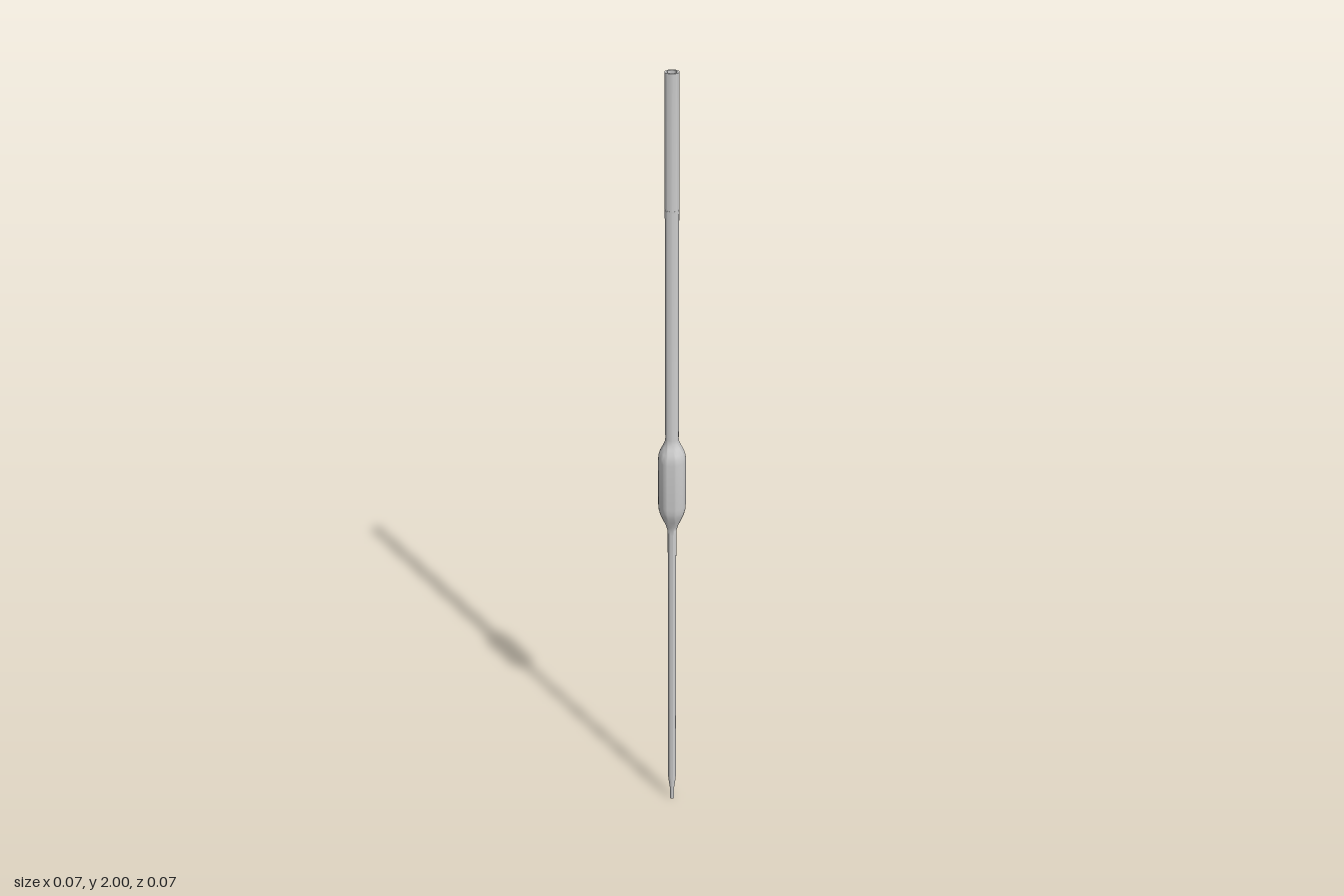
import * as THREE from 'three';
import { toCreasedNormals } from 'three/addons/utils/BufferGeometryUtils.js';

const SEGMENTS = 48;

export function createModel() {
  const group = new THREE.Group();
  group.name = 'pipette';
  const glass = new THREE.MeshStandardMaterial({ color: 0xcccccc });

  const addLathe = (name, profile) => {
    const points = profile.map(([r, y]) => new THREE.Vector2(r, y));
    const geometry = toCreasedNormals(new THREE.LatheGeometry(points, SEGMENTS), Math.PI / 5);
    const mesh = new THREE.Mesh(geometry, glass);
    mesh.name = name;
    group.add(mesh);
  };

  // Outer wall from tip to mouth: tip, stem, bulb, neck
  const outer = [
    [0.0055, 0], [0.0058, 0.035], [0.0075, 0.05], [0.0095, 0.065], [0.0105, 0.08],
    [0.0105, 0.845], [0.0115, 0.858], [0.0155, 0.872], [0.023, 0.89], [0.0295, 0.906],
    [0.0325, 0.918], [0.0335, 0.932], [0.0335, 1.055], [0.0325, 1.068],
    [0.029, 1.08], [0.022, 1.094], [0.0175, 1.104], [0.016, 1.115], [0.016, 2],
  ];

  // Bore follows the outer wall at a smaller radius, open at both ends
  const bore = outer.map(([r, y]) => [r < 0.007 ? 0.0045 : Math.max(0.005, r - 0.005), y]);

  // One closed wall: up the outside, over the rim, down the bore, back to the tip edge
  addLathe('glassTube', [...outer, ...bore.reverse(), outer[0]]);

  // Thin calibration ring around the neck
  addLathe('calibrationRing', [
    [0.0155, 1.688], [0.0165, 1.688], [0.0165, 1.692], [0.0155, 1.692],
  ]);

  return group;
}
